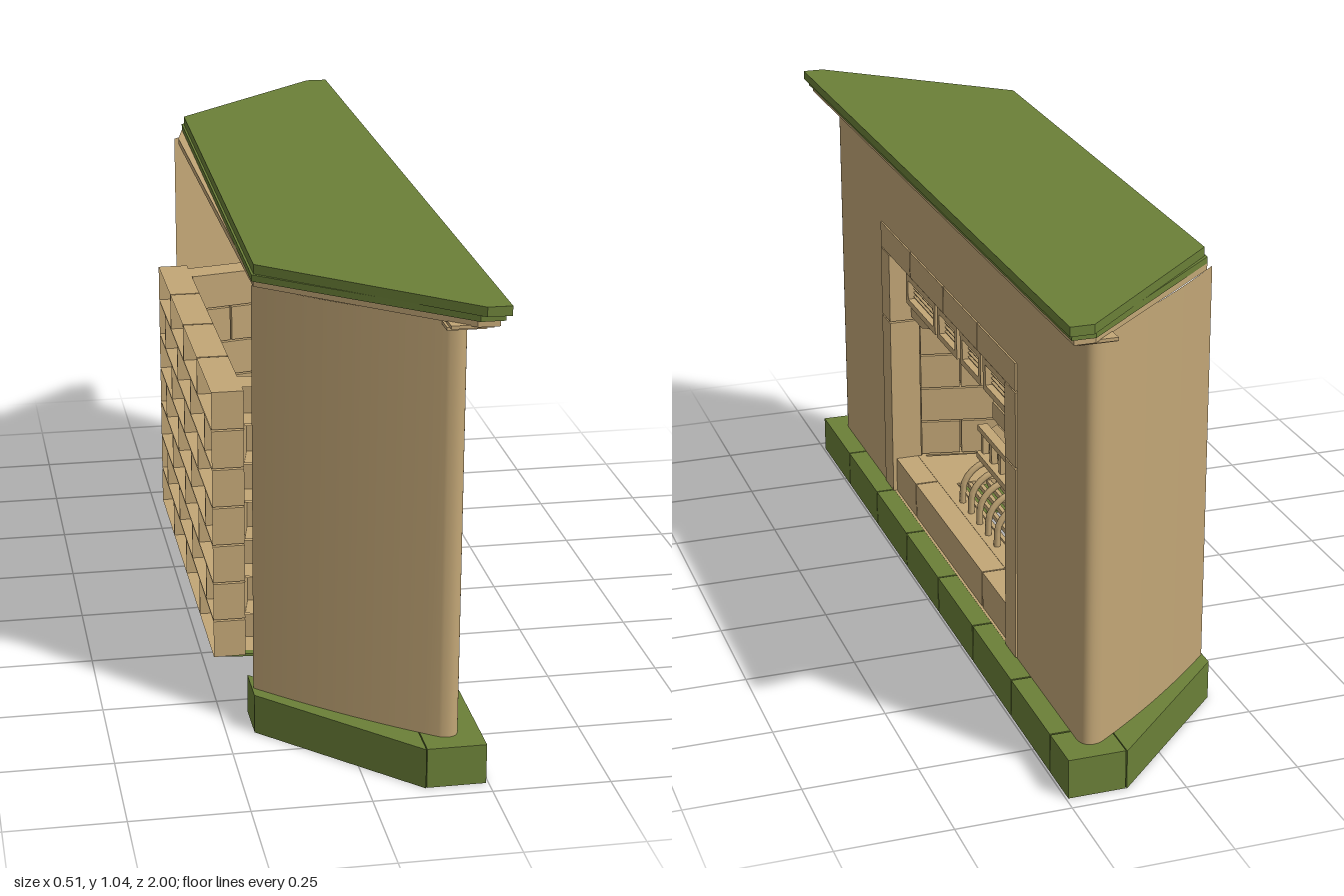
import * as THREE from 'three';

const tan = new THREE.MeshStandardMaterial({ color: 0xc2a676, side: THREE.DoubleSide });
const green = new THREE.MeshStandardMaterial({ color: 0x6b8038, side: THREE.DoubleSide });

function add(parent, name, geometry, material = tan) {
  const mesh = new THREE.Mesh(geometry, material);
  mesh.name = name;
  parent.add(mesh);
  return mesh;
}

function box(parent, name, x0, x1, y0, y1, z0, z1, material) {
  const mesh = add(parent, name, new THREE.BoxGeometry(x1 - x0, y1 - y0, z1 - z0), material);
  mesh.position.set((x0 + x1) / 2, (y0 + y1) / 2, (z0 + z1) / 2);
  return mesh;
}

const outline = (pts) => pts.map(([a, b]) => new THREE.Vector2(a, b));

// Plan outline of [x, z] points raised from y0 to y1
function slab(parent, name, pts, y0, y1, material, hole) {
  const flip = (list) => outline(list.map(([x, z]) => [x, -z]));
  const shape = new THREE.Shape(flip(pts));
  if (hole) shape.holes.push(new THREE.Path(flip(hole)));
  const geo = new THREE.ExtrudeGeometry(shape, { depth: y1 - y0, bevelEnabled: false });
  geo.rotateX(-Math.PI / 2).translate(0, y0, 0);
  return add(parent, name, geo, material);
}

// Elevation shape of [z, y] points, given thickness along x
function upright(parent, name, shape, x0, x1) {
  const geo = new THREE.ExtrudeGeometry(shape, { depth: x1 - x0, bevelEnabled: false, curveSegments: 16 });
  geo.rotateY(Math.PI / 2).translate(x0, 0, 0);
  return add(parent, name, geo);
}

const rect = (a0, a1, b0, b1) => [[a0, b0], [a1, b0], [a1, b1], [a0, b1]];

// Hollow brick, open at its back (-z)
function hollowBrick(length, height, depth) {
  const geo = new THREE.BoxGeometry(length, height, depth);
  geo.setIndex(Array.from(geo.index.array).slice(0, 30));
  return geo;
}

// Staggered courses of hollow bricks from p0 to p1 in plan
function brickWall(parent, name, p0, p1, y0, rows, rowHeight, brickLength, depth) {
  const wall = new THREE.Group();
  wall.name = name;
  const dx = p1[0] - p0[0], dz = p1[1] - p0[1], run = Math.hypot(dx, dz);
  wall.position.set(p0[0], y0, p0[1]);
  wall.rotation.y = Math.atan2(-dz, dx);
  for (let r = 0; r < rows; r++) {
    for (let s = r % 2 ? -brickLength / 2 : 0; s < run - 0.01; s += brickLength) {
      const a = Math.max(s, 0), b = Math.min(s + brickLength, run);
      const d = depth;
      const brick = add(wall, 'brick', hollowBrick(b - a - 0.004, rowHeight - 0.004, d));
      brick.position.set((a + b) / 2, (r + 0.5) * rowHeight, -d / 2);
    }
  }
  parent.add(wall);
}

function buildBase(g) {
  const seams = [0.965, 0.71, 0.45, 0.19, -0.07, -0.33, -0.6, -0.85, -0.965];
  for (let i = 0; i < seams.length - 1; i++)
    box(g, 'baseBlock', 0.12, 0.245, 0, 0.088, seams[i + 1] + 0.002, seams[i] - 0.002, green);
  for (const s of [1, -1])
    slab(g, 'baseArm', [[0.118, 0.965 * s], [-0.19, 0.66 * s], [-0.19, 0.56 * s], [0.118, 0.84 * s]], 0, 0.088, green);
}

function buildBody(g) {
  // Front panel with the fireplace opening
  const panel = new THREE.Shape(outline(rect(-0.88, 0.88, 0.088, 0.99)));
  panel.holes.push(new THREE.Path(outline(rect(-0.51, 0.51, 0.0885, 0.78))));
  upright(g, 'frontPanel', panel, 0.185, 0.2);

  // Rounded corner running into the slanted, slightly bowed side wall
  for (const s of [1, -1]) {
    const path = new THREE.Path();
    path.moveTo(0.2, 0.88);
    path.bezierCurveTo(0.2, 0.91, 0.185, 0.925, 0.155, 0.912);
    path.quadraticCurveTo(-0.02, 0.79, -0.187, 0.625);
    const pts = path.getPoints(14).map((p) => [p.x, p.y * s]);
    const geo = new THREE.PlaneGeometry(1, 0.9, pts.length - 1, 1);
    const pos = geo.attributes.position;
    for (let i = 0; i < pos.count; i++) {
      const [x, z] = pts[s > 0 ? pts.length - 1 - (i % pts.length) : i % pts.length];
      pos.setXYZ(i, x, i < pts.length ? 0.99 : 0.088, z);
    }
    geo.computeVertexNormals();
    add(g, 'sideWall', geo);
  }
}

function buildMantel(g) {
  const plan = (front, end, inset) => [
    [front, end], [front - 0.05, end], [-0.19 + inset, 0.65 - inset],
    [-0.165 + inset, -0.65 + inset], [front - 0.05, -end], [front, -end]];
  box(g, 'lowerMoulding', 0.145, 0.225, 0.98, 0.987, -0.95, 0.95);
  box(g, 'lowerMoulding', 0.15, 0.235, 0.987, 0.994, -0.965, 0.965);
  slab(g, 'mantelMoulding', [[0.245, 0.975], [0.2, 0.975], [-0.185, 0.64], [-0.185, -0.56],
    [-0.165, -0.65], [0.2, -0.975], [0.245, -0.975]], 0.992, 1.006);
  slab(g, 'mantelUnderSlab', plan(0.253, 0.985, 0), 1.006, 1.02, green);
  slab(g, 'mantelSlab', plan(0.262, 1, 0.005), 1.02, 1.04, green);
}

function buildSurround(g) {
  // Header and jamb bricks framing the opening
  const header = [-0.51, -0.25, 0, 0.26, 0.51];
  for (let i = 0; i < 4; i++)
    box(g, 'headerBrick', 0.13, 0.204, 0.717, 0.78, header[i] + 0.002, header[i + 1] - 0.002);
  for (const s of [1, -1])
    for (const [y0, y1] of [[0.09, 0.538], [0.542, 0.714]])
      box(g, 'jambBrick', 0.13, 0.204, y0, y1, Math.min(0.44 * s, 0.51 * s), Math.max(0.44 * s, 0.51 * s));

  // Arched lintel pierced by four louvred vents
  const lintel = new THREE.Shape();
  lintel.moveTo(-0.44, 0.716);
  lintel.lineTo(-0.44, 0.55);
  lintel.lineTo(-0.35, 0.55);
  lintel.quadraticCurveTo(-0.2, 0.605, 0, 0.612);
  lintel.quadraticCurveTo(0.2, 0.605, 0.35, 0.55);
  lintel.lineTo(0.44, 0.55);
  lintel.lineTo(0.44, 0.716);
  const vents = [[-0.42, -0.18], [-0.165, -0.012], [0.012, 0.165], [0.18, 0.42]];
  for (const [a, b] of vents) {
    lintel.holes.push(new THREE.Path(outline(rect(a + 0.03, b - 0.03, 0.613, 0.655))));
    const frame = new THREE.Shape(outline(rect(a, b, 0.595, 0.672)));
    frame.holes.push(new THREE.Path(outline(rect(a + 0.018, b - 0.018, 0.61, 0.658))));
    upright(g, 'ventFrame', frame, 0.149, 0.168);
    for (let i = 0; i < 4; i++) {
      const louvre = box(g, 'ventLouvre', 0.135, 0.155, 0.616 + i * 0.011, 0.62 + i * 0.011, a + 0.02, b - 0.02);
      louvre.rotation.z = -0.4;
    }
  }
  upright(g, 'archedLintel', lintel, 0.13, 0.15);
}

function buildFirebox(g) {
  const h = 0.0886;
  brickWall(g, 'backWall', [-0.18, 0.47], [-0.18, -0.47], 0.09, 7, h, 0.235, 0.07);
  brickWall(g, 'leftWall', [0.13, 0.44], [-0.18, 0.37], 0.09, 7, h, 0.2, 0.07);
  brickWall(g, 'rightWall', [-0.18, -0.37], [0.13, -0.44], 0.09, 7, h, 0.2, 0.07);

  // Hearth floor with an opening for the grate, and the plate beneath
  const hole = rect(-0.09, 0.1, -0.24, 0.24);
  const floor = [[0.14, 0.43], [-0.18, 0.37], [-0.18, -0.37], [0.14, -0.43]];
  slab(g, 'hearthFloor', floor, 0.165, 0.178, tan, hole);
  slab(g, 'hearthPlate', [[0.14, 0.5], [-0.245, 0.45], [-0.245, -0.45], [0.14, -0.5]], 0.084, 0.09, green, hole);
  for (const [z0, z1] of [[-0.44, -0.25], [-0.25, 0.27], [0.27, 0.44]])
    box(g, 'hearthFrontBrick', 0.12, 0.195, 0.09, 0.177, z0 + 0.002, z1 - 0.002);
  for (let i = 0; i < 8; i++)
    box(g, 'floorGrateBar', -0.083 + i * 0.024, -0.073 + i * 0.024, 0.163, 0.175, -0.24, 0.24);
}

function buildBasket(g) {
  // Curved ribs holding the fuel
  for (let i = 0; i < 5; i++) {
    const z = -0.13 + i * 0.065;
    const curve = new THREE.CatmullRomCurve3([[-0.06, 0.3], [0.02, 0.285], [0.085, 0.265], [0.115, 0.23], [0.12, 0.175]]
      .map(([x, y]) => new THREE.Vector3(x, y, z)));
    add(g, 'basketRib', new THREE.TubeGeometry(curve, 14, 0.008, 6));
    box(g, 'basketUpright', 0.055, 0.07, 0.27, 0.36, z - 0.008, z + 0.008);
  }
  box(g, 'basketRail', 0.05, 0.075, 0.352, 0.366, -0.15, 0.15);
  box(g, 'basketRail', 0.055, 0.08, 0.285, 0.3, -0.145, 0.145);
  for (const z of [-0.13, 0.13]) box(g, 'basketFoot', -0.065, -0.05, 0.175, 0.3, z - 0.01, z + 0.01);

  // Stacked faceted logs: x, y, radius, tilt
  for (const [x, y, r, tilt] of [[-0.04, 0.34, 0.045, 0.05], [0.02, 0.325, 0.035, -0.04], [0, 0.398, 0.042, 0]]) {
    const geo = new THREE.CylinderGeometry(r, r * 0.95, 0.3, 6).toNonIndexed();
    geo.computeVertexNormals();
    const log = add(g, 'log', geo);
    log.rotation.set(Math.PI / 2, 0, tilt);
    log.position.set(x, y, 0);
  }
}

export function createModel() {
  const model = new THREE.Group();
  model.name = 'fireplace';
  const parts = { base: buildBase, body: buildBody, mantel: buildMantel, surround: buildSurround,
    firebox: buildFirebox, fireBasket: buildBasket };
  for (const [name, build] of Object.entries(parts)) {
    const group = new THREE.Group();
    group.name = name;
    build(group);
    model.add(group);
  }
  return model;
}
